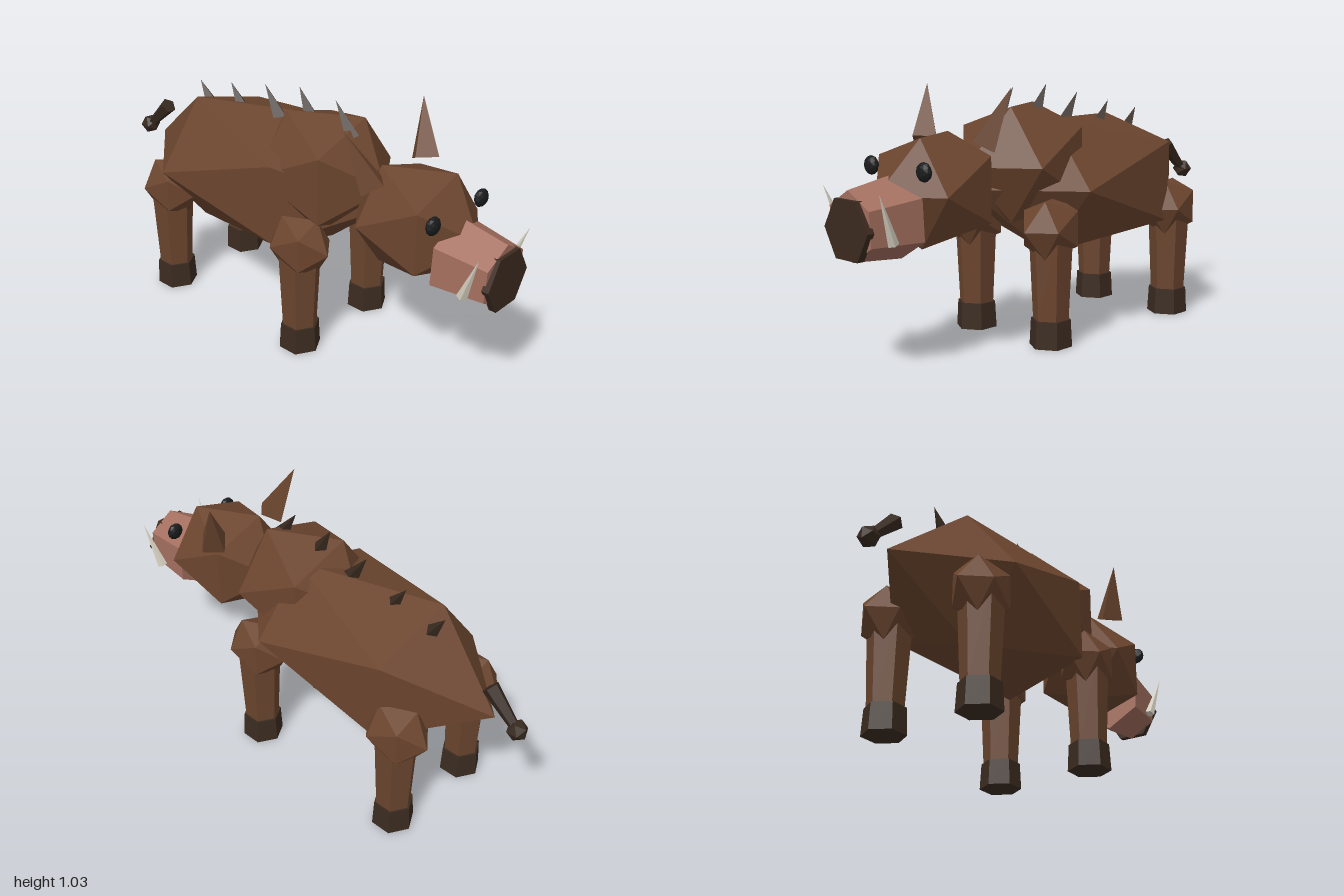
import * as THREE from 'three';

const mat = (name, color) => {
  const m = new THREE.MeshStandardMaterial({ color, flatShading: true });
  m.name = name;
  return m;
};

export function createModel() {
  const root = new THREE.Group();
  const hide = mat('brown hide', 0x6b452e);
  const dark = mat('dark bristle', 0x37291f);
  const hoofMat = mat('hoof', 0x3b2b20);
  const snoutMat = mat('pink snout', 0xa57060);
  const noseMat = mat('nose', 0x3c2a1f);
  const eyeMat = mat('black eye', 0x1a1b1c);
  const ivory = mat('ivory', 0xd6d0c0);

  const add = (name, geo, material, x = 0, y = 0, z = 0) => {
    const m = new THREE.Mesh(geo, material);
    m.name = name;
    m.position.set(x, y, z);
    root.add(m);
    return m;
  };

  // Icosahedron with its poles on z: rx, ry are the ring radii, rz the half length
  const blob = (name, material, x, y, z, rx, ry, rz) => {
    const g = new THREE.IcosahedronGeometry(1, 0);
    g.rotateX(Math.atan(2 / (1 + Math.sqrt(5))));
    g.rotateZ(Math.PI / 10);
    g.scale(rx / 0.894, ry / 0.894, rz);
    return add(name, g, material, x, y, z);
  };

  // Tapered rod from point a to point b
  const rod = (name, material, a, b, ra, rb, sides, spin = 0) => {
    const from = new THREE.Vector3(...a), to = new THREE.Vector3(...b);
    const dir = to.clone().sub(from);
    const g = new THREE.CylinderGeometry(rb, ra, dir.length(), sides);
    g.rotateY(spin);
    const m = add(name, g, material);
    m.position.copy(from).add(to).multiplyScalar(0.5);
    m.quaternion.setFromUnitVectors(new THREE.Vector3(0, 1, 0), dir.normalize());
    return m;
  };

  // Trunk, shoulders and head
  blob('body', hide, 0, 0.604, -0.22, 0.32, 0.288, 0.64).rotation.x = -0.035;
  blob('shoulderHump', hide, 0, 0.715, 0.12, 0.245, 0.24, 0.31);
  blob('head', hide, 0, 0.65, 0.585, 0.215, 0.215, 0.28);

  // Snout and nose
  const snout = new THREE.CylinderGeometry(0.131, 0.16, 0.22, 6);
  snout.rotateX(Math.PI / 2);
  add('snout', snout, snoutMat, 0, 0.563, 0.87).rotation.x = 0.05;
  const nose = new THREE.CylinderGeometry(0.125, 0.125, 0.03, 6);
  nose.rotateY(Math.PI / 6);
  nose.rotateX(Math.PI / 2);
  add('nose', nose, noseMat, 0, 0.547, 0.985);

  for (const s of [1, -1]) {
    // Face details
    const eye = add('eye', new THREE.IcosahedronGeometry(0.037, 1), eyeMat, s * 0.15, 0.743, 0.765);
    eye.scale.z = 0.6;
    rod('tusk', ivory, [s * 0.137, 0.5, 0.9], [s * 0.162, 0.69, 0.975], 0.022, 0, 5);
    rod('ear', hide, [s * 0.165, 0.815, 0.49], [s * 0.236, 1.03, 0.415], 0.065, 0, 4);

    // Legs
    for (const [end, z] of [['front', 0.18], ['hind', -0.575]]) {
      const x = s * 0.215;
      blob(end + 'Thigh', hide, x, 0.472, z, 0.102, 0.12, 0.148);
      add(end + 'Leg', new THREE.CylinderGeometry(0.09, 0.072, 0.37, 6), hide, x, 0.285, z);
      add(end + 'Hoof', new THREE.CylinderGeometry(0.081, 0.087, 0.11, 6), hoofMat, x, 0.055, z);
    }
  }

  // Back bristles: base y, base z, tip y, tip z
  for (const [y0, z0, y1, z1] of [
    [0.88, 0.26, 1.015, 0.17], [0.9, 0.045, 1.02, -0.02], [0.85, -0.125, 0.98, -0.21],
    [0.82, -0.335, 0.935, -0.41], [0.79, -0.525, 0.895, -0.6],
  ]) rod('bristle', dark, [0, y0, z0], [0, y1, z1], 0.037, 0, 4);

  // Tail and tuft
  rod('tail', dark, [0, 0.71, -0.825], [0, 0.59, -0.95], 0.035, 0.02, 5);
  add('tailTuft', new THREE.IcosahedronGeometry(0.043, 0), dark, 0, 0.583, -0.96);

  return root;
}
